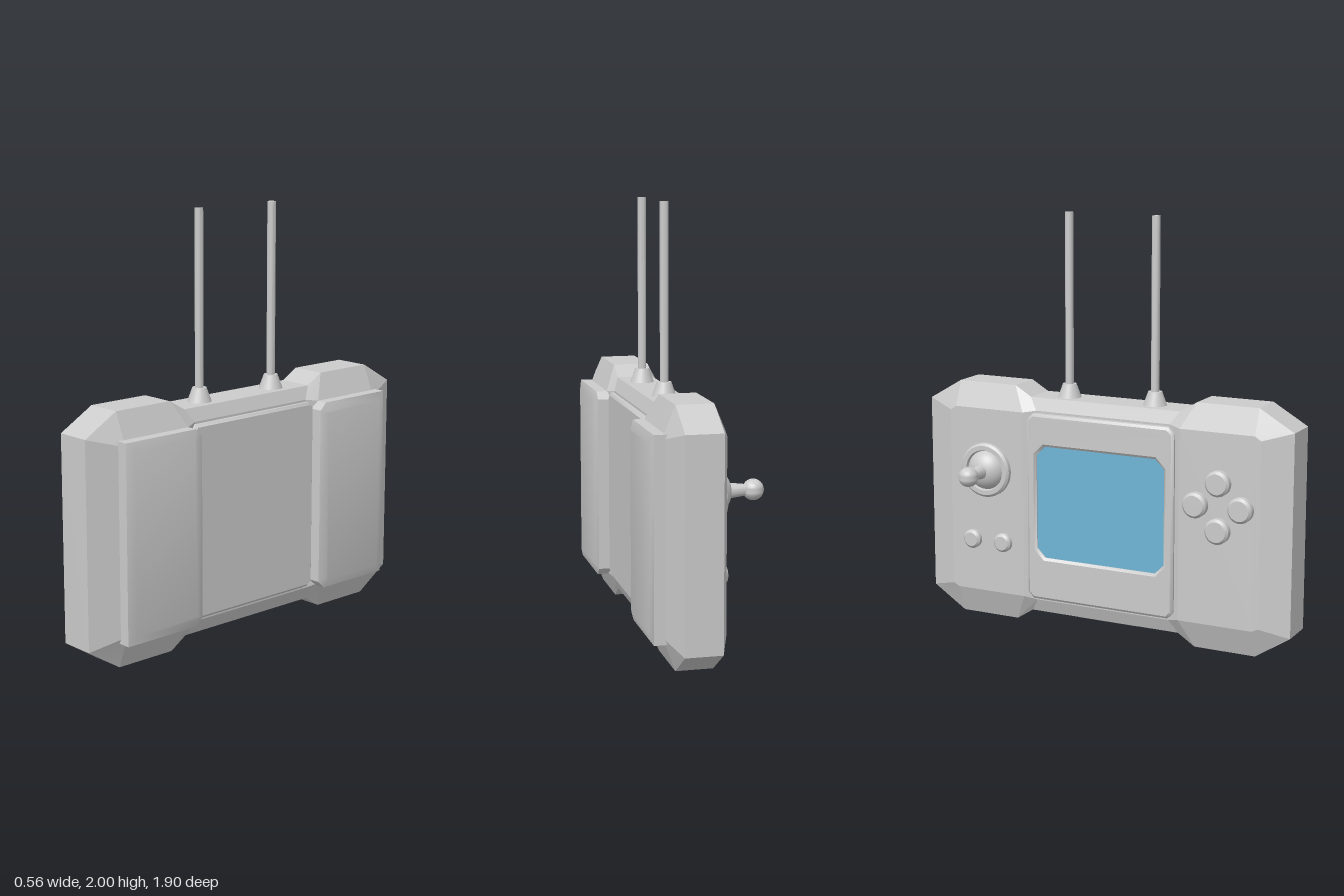
import * as THREE from 'three';
import { toCreasedNormals } from 'three/addons/utils/BufferGeometryUtils.js';

const grey = new THREE.MeshStandardMaterial({ color: 0xcccccc });
const blue = new THREE.MeshStandardMaterial({ color: 0x6fb4d6 });

export function createModel() {
  const root = new THREE.Group();

  const add = (name, geometry, x = 0, y = 0, z = 0, material = grey) => {
    const mesh = new THREE.Mesh(toCreasedNormals(geometry, 0.6), material);
    mesh.name = name;
    mesh.position.set(x, y, z);
    root.add(mesh);
    return mesh;
  };
  const polygon = (points, Type = THREE.Shape) =>
    new Type(points.map(([u, v]) => new THREE.Vector2(u, v)));
  // Rectangle with cut corners; left and right cuts can differ
  const cutRect = (u0, u1, v0, v1, cl, cr = cl) => [
    [u0 + cl, v0], [u1 - cr, v0], [u1, v0 + cr], [u1, v1 - cr],
    [u1 - cr, v1], [u0 + cl, v1], [u0, v1 - cl], [u0, v0 + cl],
  ].filter((p, i, a) => i === 0 || p[0] !== a[i - 1][0] || p[1] !== a[i - 1][1]);
  // Bevelled plate, extruded along +z from 0 to height
  const plate = (shape, height, bevelX, bevelZ) => new THREE.ExtrudeGeometry(shape, {
    depth: height - 2 * bevelZ, bevelEnabled: true, bevelSegments: 1,
    bevelSize: bevelX, bevelThickness: bevelZ, bevelOffset: -bevelX,
  }).translate(0, 0, bevelZ);
  // Turned part whose axis points out of the control face (-x)
  const turned = (profile, segments = 24) => new THREE.LatheGeometry(
    profile.map(([r, h]) => new THREE.Vector2(r, h)), segments).rotateZ(Math.PI / 2);

  // Housing: chamfered shell, columns of [z, bottom y, top y, x]
  const rim = (x) => [
    [0.95, 0.11, 1.07, x], [0.78, 0, 1.17, x], [0.475, 0, 1.17, x], [0.39, 0.055, 1.12, x],
  ];
  const face = (x, ledge) => [
    [0.81, 0.15, 1.03, x], [0.78, 0.135, 1.05, x], [0.41, 0.135, 1.05, x], [0.35, 0.12, 1.06, ledge],
  ];
  const levels = [face(-0.06, -0.035), rim(-0.01), rim(0.16), face(0.21, 0.185)];
  const positions = [];
  const index = [];
  for (const half of levels) {
    const columns = [
      ...half.map(([z, b, t, x]) => [-z, b, t, x]),
      ...[...half].reverse(),
    ];
    for (const [z, , t, x] of columns) positions.push(x, t, z);
    for (const [z, b, , x] of columns.reverse()) positions.push(x, b, z);
  }
  const quad = (a, b, c, d) => index.push(a, b, c, a, c, d);
  for (let level = 0; level < 3; level++) {
    for (let k = 0; k < 16; k++) {
      const a = level * 16 + k;
      const b = level * 16 + (k + 1) % 16;
      quad(a, b, b + 16, a + 16);
    }
  }
  for (let j = 0; j < 7; j++) {
    quad(j, 15 - j, 14 - j, j + 1);
    quad(48 + j, 49 + j, 62 - j, 63 - j);
  }
  const shell = new THREE.BufferGeometry();
  shell.setAttribute('position', new THREE.Float32BufferAttribute(positions, 3));
  shell.setIndex(index);
  add('housing', toCreasedNormals(shell, 0.1)).geometry = toCreasedNormals(shell, 0.1);

  // Control panel with a screen opening
  const panel = polygon(cutRect(-0.385, 0.385, 0.135, 1.05, 0.03));
  panel.holes.push(polygon(cutRect(-0.335, 0.335, 0.345, 0.895, 0.045).reverse(), THREE.Path));
  add('controlPanel', plate(panel, 0.05, 0.012, 0.01).rotateY(-Math.PI / 2), -0.02);
  add('screen', new THREE.BoxGeometry(0.02, 0.57, 0.7), -0.045, 0.62, 0, blue);

  // Rear panel and two rear grip pads
  const rear = polygon(cutRect(-0.385, 0.385, 0.135, 1.05, 0.03));
  add('rearPanel', plate(rear, 0.04, 0.012, 0.01).rotateY(Math.PI / 2), 0.17);
  for (const side of [-1, 1]) {
    const outline = side < 0
      ? cutRect(-0.81, -0.375, 0.13, 1.05, 0, 0.035)
      : cutRect(0.375, 0.81, 0.13, 1.05, 0.035, 0);
    const pad = polygon(outline);
    add(side < 0 ? 'leftGripPad' : 'rightGripPad',
      plate(pad, 0.095, 0.04, 0.013).rotateY(Math.PI / 2), 0.18);
  }

  // Raised plate underneath
  const foot = polygon(cutRect(-0.06, 0.06, -0.185, 0.185, 0.02));
  add('bottomPlate', plate(foot, 0.04, 0.025, 0.015).rotateX(Math.PI / 2), 0.075, 0.075);

  // Antennas with conical sockets
  for (const z of [-0.225, 0.225]) {
    add('antennaSocket', new THREE.CylinderGeometry(0.033, 0.06, 0.075, 20), 0.075, 1.1475, z);
    add('antennaRod', new THREE.CylinderGeometry(0.02, 0.02, 0.84, 16), 0.075, 1.58, z);
  }

  // Joystick: collar, dome, tapered stem and ball
  const [jy, jz] = [0.75, -0.61];
  add('joystickCollar', turned([
    [0.133, 0], [0.133, 0.025], [0.122, 0.035], [0.1, 0.035], [0.095, 0.02], [0, 0.02],
  ], 32), -0.055, jy, jz);
  add('joystickDome', new THREE.SphereGeometry(0.098, 28, 18).scale(0.78, 1, 1), -0.056, jy, jz);
  add('joystickStem', turned([[0.036, 0], [0.025, 0.09]], 18), -0.115, jy, jz);
  add('joystickBall', new THREE.SphereGeometry(0.048, 24, 16), -0.235, jy, jz);

  // Round push buttons
  const button = (name, r, h, y, z) => add(name, turned([
    [r, 0], [r, h - 0.012], [r - 0.012, h], [0, h],
  ]), -0.055, y, z);
  for (let i = 0; i < 4; i++) {
    const a = i * Math.PI / 2;
    button('actionButton', 0.06, 0.045, 0.705 + 0.112 * Math.sin(a), 0.61 + 0.112 * Math.cos(a));
  }
  for (const z of [-0.69, -0.52]) button('menuButton', 0.046, 0.037, 0.395, z);

  return root;
}
